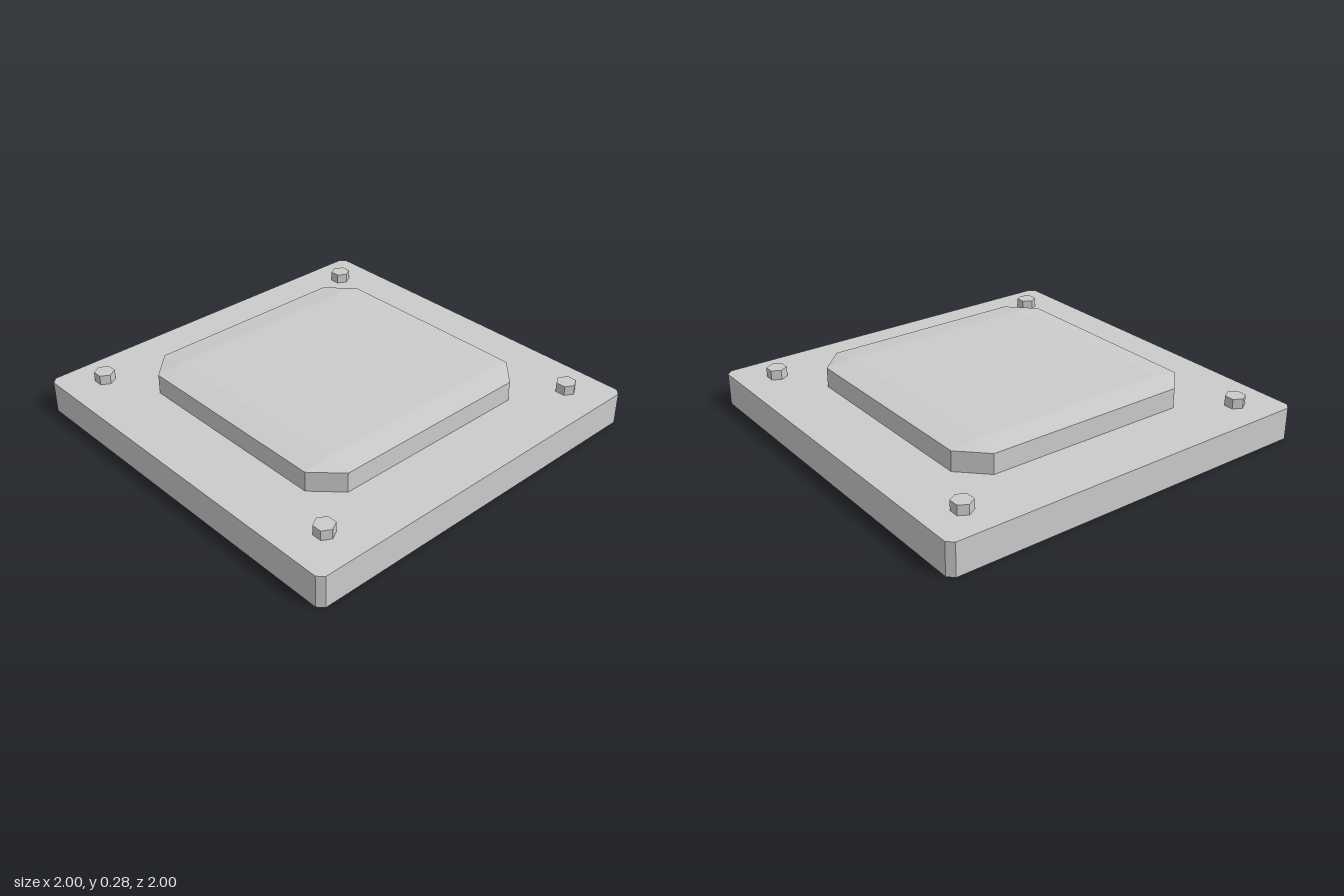
import * as THREE from 'three';

const BASE_TOP = 0.165;

// Square outline with cut corners, extruded upward from y = 0
function chamferedSlab(half, cut, height, steps = 1) {
  const a = half, b = half - cut;
  const outline = [[a, -b], [a, b], [b, a], [-b, a], [-a, b], [-a, -b], [-b, -a], [b, -a]];
  const shape = new THREE.Shape(outline.map(([x, y]) => new THREE.Vector2(x, y)));
  const geometry = new THREE.ExtrudeGeometry(shape, { depth: height, steps, bevelEnabled: false });
  return geometry.rotateX(-Math.PI / 2);
}

// Raised panel: straight sides, then a shallow slope up to a flat square top
function raisedPanel(half, cut, wall, total) {
  const geometry = chamferedSlab(half, cut, total, 2);
  const p = geometry.attributes.position;
  const inner = half - cut;
  for (let i = 0; i < p.count; i++) {
    const y = p.getY(i);
    if (y > total * 0.75) {
      p.setX(i, THREE.MathUtils.clamp(p.getX(i), -inner, inner));
      p.setZ(i, THREE.MathUtils.clamp(p.getZ(i), -inner, inner));
    } else if (y > total * 0.25) {
      p.setY(i, wall);
    }
  }
  geometry.computeVertexNormals();
  return geometry;
}

export function createModel() {
  const model = new THREE.Group();
  model.name = 'boltedPlate';
  const material = new THREE.MeshStandardMaterial({ color: 0xcccccc, flatShading: true });

  const add = (name, geometry, x, y, z) => {
    const mesh = new THREE.Mesh(geometry, material);
    mesh.name = name;
    mesh.position.set(x, y, z);
    model.add(mesh);
  };

  add('basePlate', chamferedSlab(1, 0.03, BASE_TOP), 0, 0, 0);
  add('raisedPanel', raisedPanel(0.667, 0.132, 0.102, 0.118), 0, BASE_TOP, 0);

  // Hexagonal bolt heads near the four corners
  const boltHeight = 0.05;
  const bolt = new THREE.CylinderGeometry(0.051, 0.051, boltHeight, 6);
  for (const [side, x] of [['Right', -0.795], ['Left', 0.81]]) {
    for (const [end, z] of [['back', -0.82], ['front', 0.8]]) {
      add(`${end}${side}Bolt`, bolt, x, BASE_TOP + boltHeight / 2, z);
    }
  }

  return model;
}
